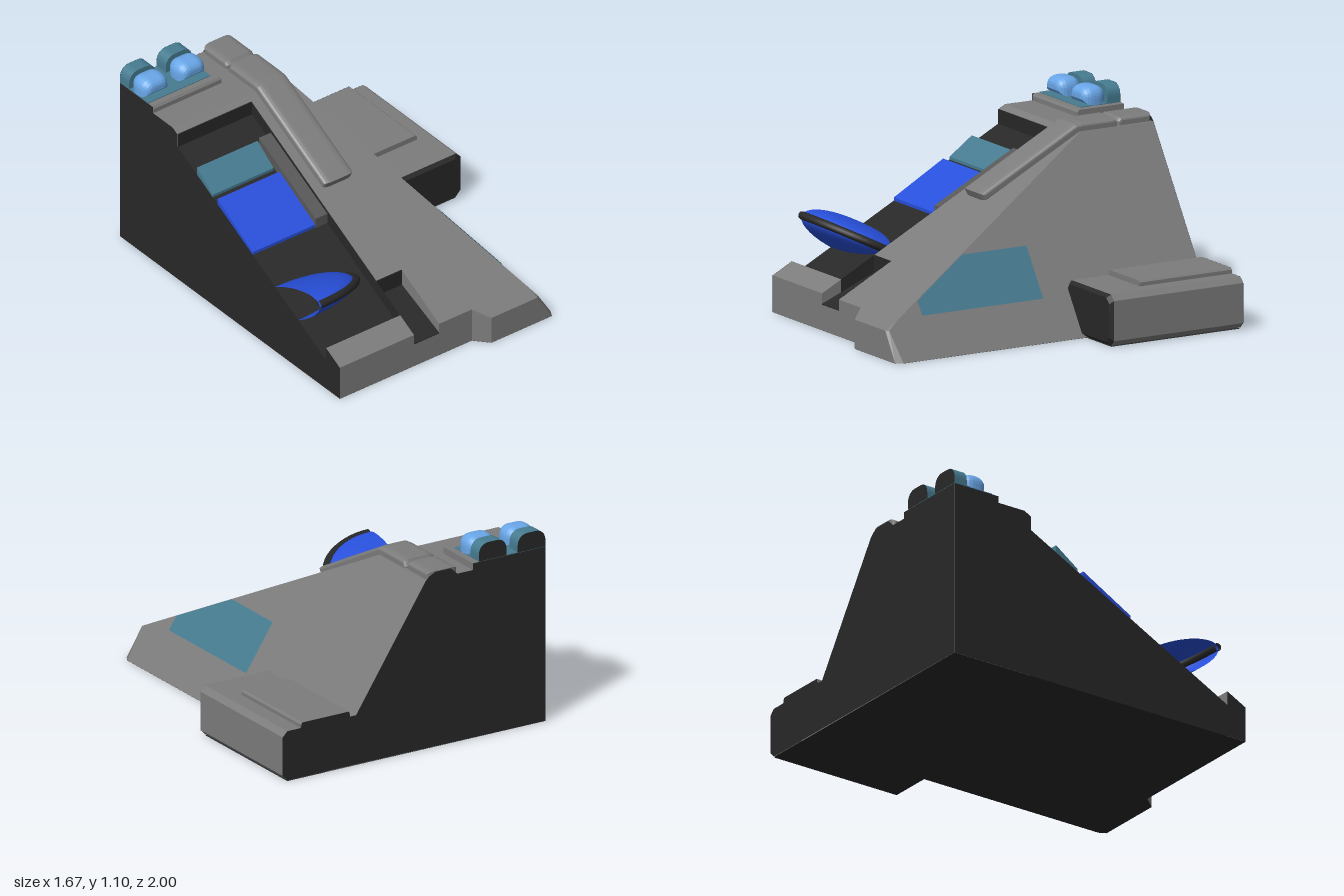
import * as THREE from 'three';
import { ConvexGeometry } from 'three/addons/geometries/ConvexGeometry.js';

const mat = (name, color, side = THREE.FrontSide) => {
  const m = new THREE.MeshStandardMaterial({ color, side });
  m.name = name;
  return m;
};

export function createModel() {
  const root = new THREE.Group();
  root.name = 'slopedHull';
  const D = THREE.DoubleSide;
  const grey = mat('hull grey', 0x7c7c7c);
  const darkGrey = mat('dark grey', 0x585858);
  const black = mat('black', 0x282828, D);
  const blue = mat('blue', 0x2850dc, D);
  const lightBlue = mat('light blue', 0x6aa8ea);
  const teal = mat('teal', 0x467b90, D);

  const X0 = -0.84, BACK = -1, TOP = 0.96;
  const slopeY = z => 0.16 + 0.52 * (1 - z);      // front slope
  const sideX = y => 0.55 - 0.656 * y;            // right-hand slope

  const add = (name, geo, m, parent = root) => {
    const mesh = new THREE.Mesh(geo, m);
    mesh.name = name;
    parent.add(mesh);
    return mesh;
  };
  const shape = pts => new THREE.Shape(pts.map(p => new THREE.Vector2(p[0], p[1])));
  // Solid with a (z, y) profile running from x0 to x1
  const prism = (name, pts, x0, x1, m, bevel = 0, rise = 0) => {
    const g = new THREE.ExtrudeGeometry(shape(pts), {
      depth: x1 - x0 - 2 * bevel, bevelEnabled: bevel > 0, bevelThickness: bevel,
      bevelSize: rise, bevelOffset: -rise, bevelSegments: 4,
    });
    g.rotateY(-Math.PI / 2).translate(x1 - bevel, 0, 0);
    return add(name, g, m);
  };
  // Flat sheet with a (z, y) outline whose x follows a rule
  const sheet = (name, pts, xAt, m) => {
    const g = new THREE.ShapeGeometry(shape(pts));
    const p = g.attributes.position;
    for (let i = 0; i < p.count; i++) {
      const z = p.getX(i), y = p.getY(i);
      p.setXYZ(i, xAt(y), y, z);
    }
    g.computeVertexNormals();
    return add(name, g, m);
  };
  const hull = (name, pts, m) =>
    add(name, new ConvexGeometry(pts.map(p => new THREE.Vector3(...p))), m);

  // Main hull: right part with the slanted side
  const crest = -0.54, F = 0.92;
  const profile = [[BACK, 0], [F, 0], [F, slopeY(F)], [crest, TOP], [BACK, TOP]];
  hull('sideHull', profile.flatMap(([z, y]) => [[-0.17, y, z], [sideX(y), y, z]]), grey);
  hull('frontStep', [
    [0.05, 0, F], [0.12, 0, 1], [0.53, 0, 1], [0.55, 0, 0.96], [0.55, 0, F],
    [0.05, slopeY(F), F], [0.12, 0.16, 1], [0.43, 0.16, 1], [0.445, 0.16, 0.985],
    [sideX(slopeY(F)), slopeY(F), F],
  ], grey);

  // Notched strip between the channel and the side hull
  prism('notchedHull', [[BACK, 0], [0.59, 0], [0.59, slopeY(0.59)], [crest, TOP], [BACK, TOP]],
    -0.34, -0.17, grey);
  prism('notchFoot', [[0.59, 0], [F, 0], [F, 0.14], [0.59, 0.14]], -0.34, -0.17, grey);
  prism('notchFloor', [[0.59, 0.139], [F, 0.139], [F, 0.145], [0.59, 0.28]], -0.34, -0.17, black);
  sheet('notchWall', [[0.59, 0.14], [F, 0.14], [F, slopeY(F)], [0.59, slopeY(0.59)]],
    () => -0.169, black);
  add('notchEnd', new THREE.BoxGeometry(0.17, 0.094, 0.006), black).position.set(-0.255, 0.325, 0.592);

  // Channel strip: grey ends and a sunken black floor
  const floorY = z => slopeY(z) - 0.08;
  prism('channelTop', [[BACK, 0], [-0.5, 0], [-0.5, slopeY(-0.5)], [crest, TOP], [BACK, TOP]],
    X0, -0.34, grey);
  prism('channelFront', [[0.8, 0], [F, 0], [F, slopeY(F)], [0.8, slopeY(0.8)]], X0, -0.34, grey);
  prism('channelFloor', [[-0.5, 0], [0.8, 0], [0.8, floorY(0.8)], [-0.5, floorY(-0.5)]],
    X0, -0.34, black);
  sheet('channelEnd', [[0, floorY(-0.5)], [0, 0.938]], () => 0, black).visible = false;
  root.remove(root.getObjectByName('channelEnd'));
  add('channelEndWall', new THREE.BoxGeometry(0.5, 0.08, 0.006), black).position.set(-0.59, 0.898, -0.498);
  sheet('channelWall', [[-0.5, floorY(-0.5)], [0.8, floorY(0.8)], [0.8, slopeY(0.8)], [-0.5, slopeY(-0.5)]],
    () => -0.341, black);

  // Panels and rib inside the channel
  const band = (name, z0, z1, y0, y1, xa, xb, m) =>
    prism(name, [[z0, y0 - 0.06], [z1, y1 - 0.06], [z1, y1], [z0, y0]], xa, xb, m);
  band('tealPanel', -0.33, -0.19, 0.815, 0.715, X0, -0.43, teal);
  band('bluePanel', -0.15, 0.16, 0.71, 0.535, X0, -0.42, blue);
  band('channelRib', -0.33, 0.165, 0.83, 0.575, -0.42, -0.34, darkGrey);

  // Side window lying on the slanted face
  sheet('sideWindow', [[0, 0.21], [0.76, 0.21], [0.76, 0.283], [0.405, 0.468], [0, 0.468]],
    y => sideX(y) + 0.004, teal);

  // Rounded ridge running over the crest, with a groove behind
  prism('frontRidge', [[0.05, 0.64], [0.075, 0.69], [-0.52, 1.0], [-0.56, 1.004],
    [-0.77, 1.004], [-0.79, 0.97], [-0.79, 0.9], [-0.5, 0.9]], -0.283, -0.087, grey, 0.045, 0.018);
  prism('rearRidge', [[-0.785, 0.9], [-0.785, 0.985], [-0.805, 1.004], [BACK, 1.004], [BACK, 0.9]],
    -0.283, -0.095, grey, 0.045, 0.018);

  // Roof plate with its inlay
  const roof = (name, x1, y0, y1, z1, m) =>
    add(name, new THREE.BoxGeometry(x1 - X0, y1 - y0, z1 - BACK), m)
      .position.set((x1 + X0) / 2, (y0 + y1) / 2, (z1 + BACK) / 2);
  prism('roofPlate', [[BACK, 0.95], [-0.71, 0.95], [-0.71, 0.985], [-0.72, 0.998], [BACK, 0.998]],
    X0, -0.38, grey);
  roof('roofInlay', -0.42, 0.996, 1.002, -0.755, teal);

  // Two domed capsules, pale front and teal rear
  const arch = (r, h) => {
    const s = new THREE.Shape();
    s.moveTo(-r, 0);
    s.lineTo(r, 0);
    s.lineTo(r, h - 0.065);
    s.bezierCurveTo(r, h - 0.02, r * 0.65, h, r * 0.3, h);
    s.lineTo(-r * 0.3, h);
    s.bezierCurveTo(-r * 0.65, h, -r, h - 0.02, -r, h - 0.065);
    s.closePath();
    return s;
  };
  for (const x of [-0.752, -0.505]) {
    const rear = new THREE.ExtrudeGeometry(arch(0.088, 0.1), { depth: 0.08, bevelEnabled: false, curveSegments: 8 });
    add('capsuleRear', rear, teal).position.set(x, 1, BACK);
    const front = new THREE.ExtrudeGeometry(arch(0.088, 0.1), {
      depth: 0.02, bevelThickness: 0.06, bevelSize: 0.045, bevelOffset: -0.045,
      bevelSegments: 5, curveSegments: 8,
    });
    add('capsuleFront', front, lightBlue).position.set(x, 1, -0.86);
  }

  // Half saucer leaning out of the channel
  const saucer = new THREE.Group();
  saucer.name = 'saucer';
  const dome = new THREE.SphereGeometry(1, 32, 20, Math.PI / 2, Math.PI).scale(0.41, 0.095, 0.325);
  add('saucerDome', dome, blue, saucer);
  const rim = new THREE.TorusGeometry(1, 0.07, 8, 32, Math.PI)
    .rotateZ(-Math.PI / 2).rotateX(Math.PI / 2).scale(0.41, 0.32, 0.325);
  add('saucerRim', rim, black, saucer);
  saucer.position.set(X0, 0.36, 0.45);
  saucer.rotation.x = -Math.atan2(0.16, 0.31);
  root.add(saucer);

  // Side pod: chamfered box with a black front and a raised lid
  const ring = (z, i) => {
    const a = 0.37 + i, b = 0.83 - i, lo = 0.005 + i, hi = 0.285 - i, c = 0.03;
    return [[a, lo, z], [b - c, lo, z], [b, lo + c, z], [b, hi - c, z],
      [b - c, hi, z], [a + c, hi, z], [a, hi - c, z]];
  };
  hull('podBody', [...ring(BACK, 0), ...ring(-0.19, 0)], grey);
  hull('podFront', [...ring(-0.19, 0), ...ring(-0.17, 0.018)], black);
  hull('podLid', [BACK, -0.42].flatMap(z => [[0.4, 0.28, z], [0.715, 0.28, z],
    [0.715, 0.305, z], [0.705, 0.315, z], [0.41, 0.315, z], [0.4, 0.305, z]]), grey);

  // Black cut faces: back, inner side and underside
  const backPlate = new THREE.ShapeGeometry(shape([[X0, 0], [0.8, 0.005], [0.83, 0.035], [0.83, 0.255],
    [0.8, 0.285], [0.715, 0.285], [0.705, 0.315], [0.41, 0.315], [0.4, 0.285], [sideX(0.285), 0.285],
    [sideX(TOP), TOP], [-0.1, 0.98], [-0.14, 1.0], [-0.24, 1.0], [-0.28, 0.96], [-0.38, 0.96],
    [-0.38, 0.998], [X0, 0.998]]));
  add('backFace', backPlate, black).position.z = BACK - 0.001;
  for (const x of [-0.752, -0.505]) {
    add('capsuleBack', new THREE.ShapeGeometry(arch(0.088, 0.1)), black).position.set(x, 1, BACK - 0.001);
  }
  sheet('innerFace', [[BACK, 0], [F, 0], [F, slopeY(F)], [0.8, slopeY(0.8)], [0.8, floorY(0.8)],
    [-0.5, floorY(-0.5)], [-0.5, slopeY(-0.5)], [crest, TOP], [-0.71, TOP], [-0.71, 0.998], [BACK, 0.998]],
  () => X0 - 0.001, black);
  const under = new THREE.ShapeGeometry(shape([[X0, BACK], [0.8, BACK], [0.8, -0.19], [0.55, -0.19],
    [0.55, 0.96], [0.53, 1], [0.12, 1], [0.05, F], [X0, F]])).rotateX(Math.PI / 2);
  add('underside', under, black).position.y = -0.001;

  return root;
}
